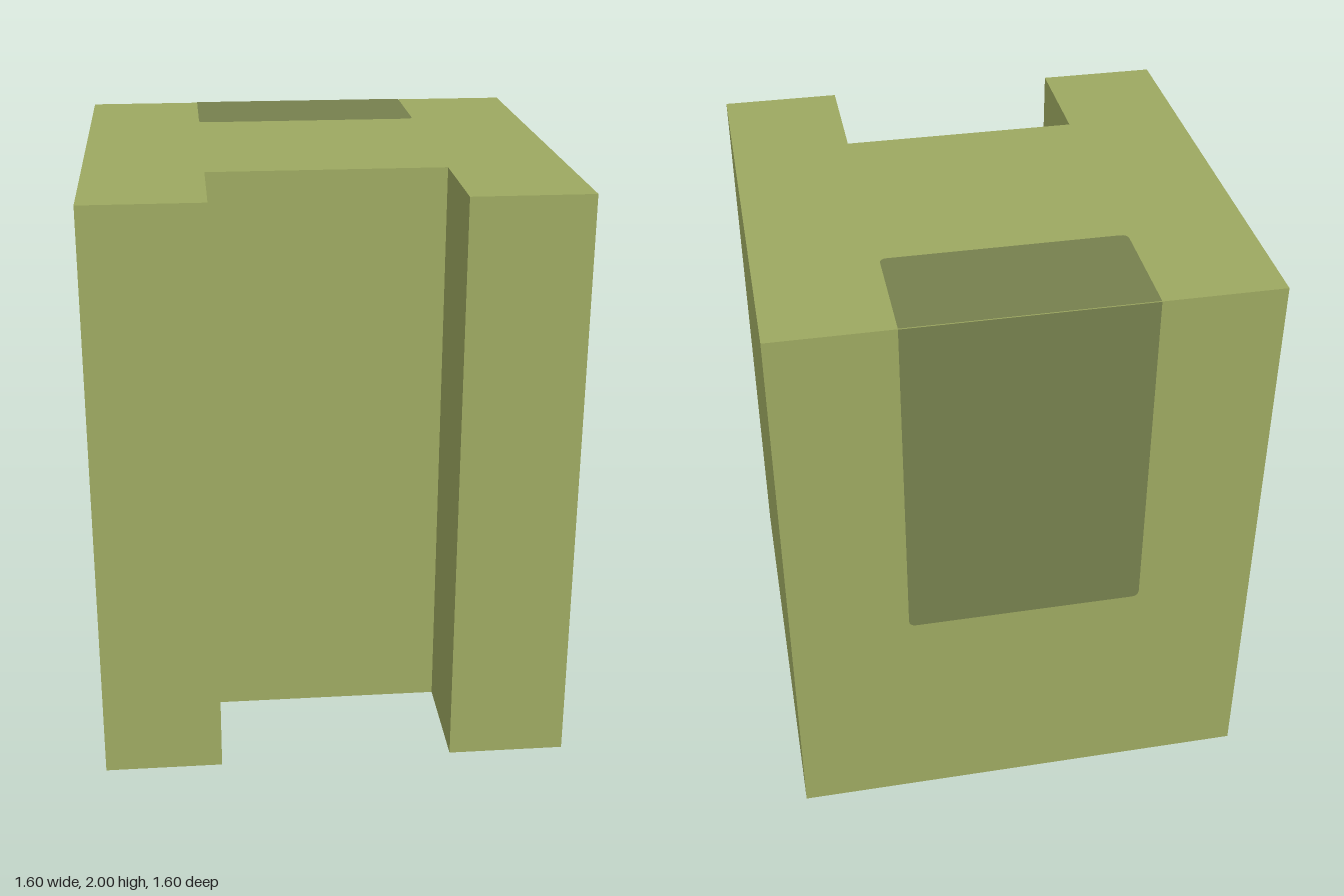
import * as THREE from 'three';

const olive = new THREE.MeshStandardMaterial({ color: 0x9fab62 });
olive.name = 'olive';
const darkOlive = new THREE.MeshStandardMaterial({ color: 0x78824f });
darkOlive.name = 'dark olive';

const HALF = 0.8, SLOT = 0.4, HEIGHT = 2, LIFT = 0.002;

// Flat panel hanging down from y = 0, with its two lower corners rounded
function panel(name, length) {
  const r = 0.025;
  const s = new THREE.Shape();
  s.moveTo(SLOT, 0);
  s.lineTo(-SLOT, 0);
  s.lineTo(-SLOT, -length + r);
  s.quadraticCurveTo(-SLOT, -length, -SLOT + r, -length);
  s.lineTo(SLOT - r, -length);
  s.quadraticCurveTo(SLOT, -length, SLOT, -length + r);
  s.closePath();
  const mesh = new THREE.Mesh(new THREE.ShapeGeometry(s, 4), darkOlive);
  mesh.name = name;
  return mesh;
}

export function createModel() {
  const model = new THREE.Group();
  model.name = 'notchedBlock';

  // Block with a full-height slot in the front (plan outline, front is -y)
  const outline = [
    [-HALF, -HALF], [-SLOT, -HALF], [-SLOT, -SLOT], [SLOT, -SLOT],
    [SLOT, -HALF], [HALF, -HALF], [HALF, HALF], [-HALF, HALF],
  ].map(([x, y]) => new THREE.Vector2(x, y));
  const geometry = new THREE.ExtrudeGeometry(new THREE.Shape(outline), { depth: HEIGHT, bevelEnabled: false });
  geometry.rotateX(-Math.PI / 2);
  const block = new THREE.Mesh(geometry, olive);
  block.name = 'block';
  model.add(block);

  // Dark panel folding over the rear top edge
  const topPanel = panel('topPanel', 0.4);
  topPanel.rotation.x = -Math.PI / 2;
  topPanel.position.set(0, HEIGHT + LIFT, -HALF);
  const backPanel = panel('backPanel', 1.2);
  backPanel.rotation.y = Math.PI;
  backPanel.position.set(0, HEIGHT, -HALF - LIFT);
  model.add(topPanel, backPanel);

  return model;
}
